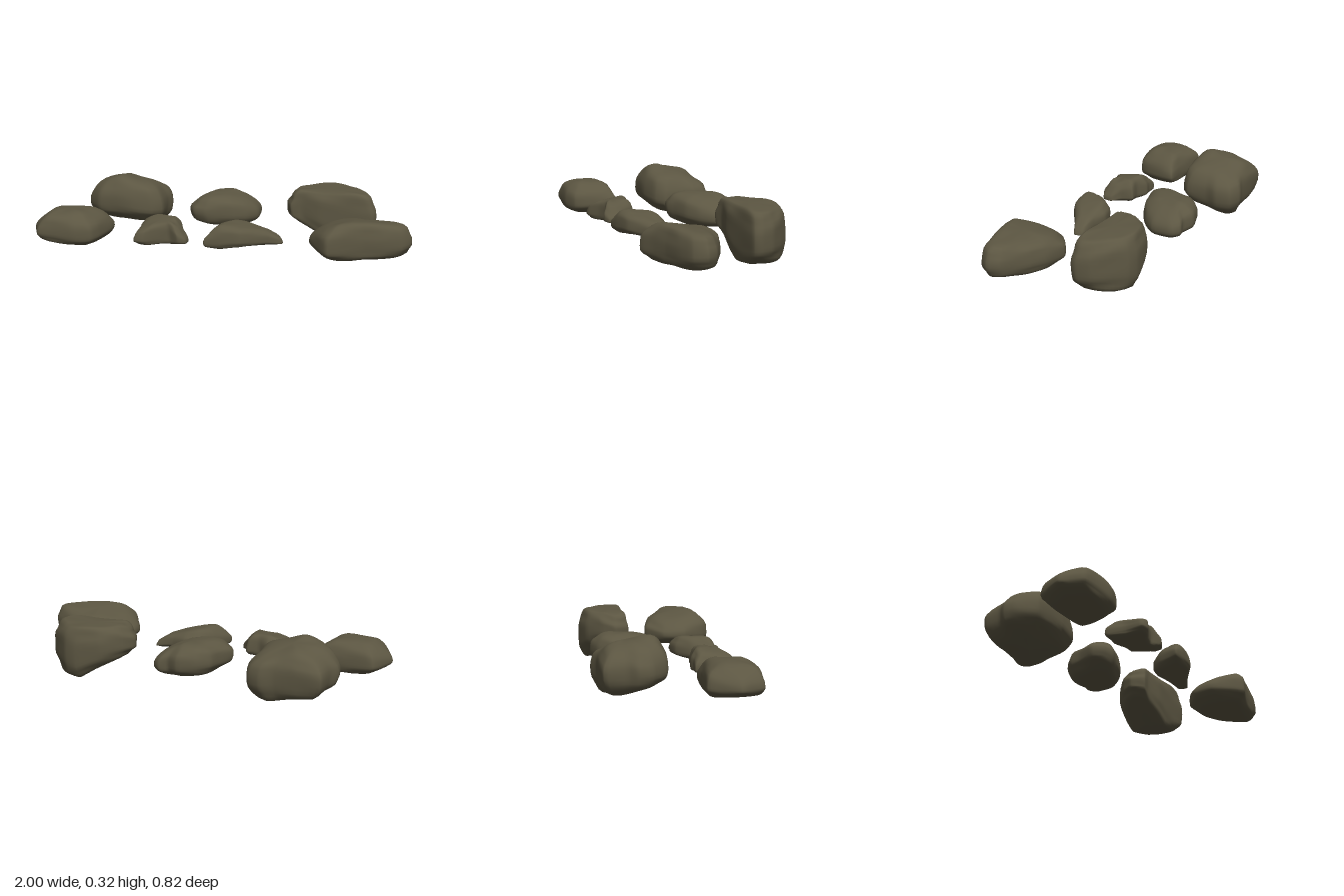
import * as THREE from 'three';

// Linear interpolation in a profile of [x, top, bottom] rows
function profileAt(profile, x) {
  const first = profile[0], last = profile[profile.length - 1];
  if (x <= first[0]) return [first[1], first[2]];
  for (let k = 1; k < profile.length; k++) {
    const a = profile[k - 1], b = profile[k];
    if (x <= b[0]) {
      const t = (x - a[0]) / (b[0] - a[0]);
      return [a[1] + (b[1] - a[1]) * t, a[2] + (b[2] - a[2]) * t];
    }
  }
  return [last[1], last[2]];
}

// Rock: plan outline (clockwise from above) swept into a lumpy dome above and below.
// waist = height of the widest ring, under / over = squareness of each half (smaller is squarer),
// tilt / baseTilt = slope of the crown and of the underside along z
function rockGeometry({ outline, profile, waist = 0.42, under = 0.4, over = 0.5, tilt = 0, baseTilt = 0, seed }) {
  const around = 56, rings = 18;
  const curve = new THREE.CatmullRomCurve3(
    outline.map(([x, z]) => new THREE.Vector3(x, 0, z)), true, 'catmullrom', 0.25);
  const edge = Array.from({ length: around }, (_, i) => curve.getPoint(i / around));
  // Softened outline, used towards the crown and the underside
  const soft = edge.map((p, i) => {
    const sum = new THREE.Vector3();
    for (let k = -5; k <= 5; k++) sum.addScaledVector(edge[(i + k + around) % around], 1 / 11);
    return sum;
  });
  const centre = new THREE.Vector3();
  edge.forEach(p => centre.addScaledVector(p, 1 / around));

  const positions = [], index = [];
  const addPoint = (p, radius, s) => {
    const lump = Math.sin(15 * p.x + seed * 2.1) * Math.sin(17 * p.z + 9 * s + seed * 3.7);
    const reach = radius * (1 + 0.04 * lump * Math.abs(s));
    const x = centre.x + (p.x - centre.x) * reach;
    const z = centre.z + (p.z - centre.z) * reach;
    const [top, bottom] = profileAt(profile, x);
    const mid = bottom + (top - bottom) * waist;
    const rise = Math.sign(s) * Math.pow(Math.abs(s), 0.85) * (0.97 + 0.03 * lump);
    const y = mid + rise * (s > 0 ? top - mid : mid - bottom);
    positions.push(x, y + (s > 0 ? tilt : baseTilt) * (z - centre.z) * Math.abs(s), z);
  };

  addPoint(centre, 0, -1);
  for (let j = 1; j < rings; j++) {
    const phi = (j / rings - 0.5) * Math.PI, s = Math.sin(phi);
    const radius = Math.pow(Math.cos(phi), s < 0 ? under : over);
    edge.forEach((p, i) => addPoint(p.clone().lerp(soft[i], s * s * 0.7), radius, s));
  }
  addPoint(centre, 0, 1);

  const last = positions.length / 3 - 1;
  for (let i = 0; i < around; i++) {
    const n = (i + 1) % around;
    index.push(0, 1 + i, 1 + n);
    for (let j = 0; j < rings - 2; j++) {
      const a = 1 + j * around + i, b = 1 + j * around + n;
      index.push(a, a + around, b + around, a, b + around, b);
    }
    const t = 1 + (rings - 2) * around;
    index.push(t + i, last, t + n);
  }
  const geometry = new THREE.BufferGeometry();
  geometry.setAttribute('position', new THREE.Float32BufferAttribute(positions, 3));
  geometry.setIndex(index);
  geometry.computeVertexNormals();
  return geometry;
}

const rocks = {
  backLeftRock: {
    outline: [[-.77, -.38], [-.66, -.39], [-.53, -.39], [-.46, -.41], [-.39, -.38], [-.365, -.3], [-.38, -.24],
      [-.38, -.12], [-.43, -.07], [-.55, -.05], [-.67, -.06], [-.74, -.07], [-.81, -.15], [-.82, -.22], [-.79, -.27]],
    profile: [[-.82, .28, .06], [-.72, .305, .055], [-.62, .32, .05], [-.5, .295, .04], [-.36, .28, .03]],
    waist: .48, under: .5, over: .58, tilt: .18, baseTilt: .25, seed: 1,
  },
  backMiddleRock: {
    outline: [[-.18, -.2], [-.16, -.27], [-.1, -.33], [0, -.36], [.06, -.33], [.11, -.34], [.15, -.3],
      [.15, -.19], [.1, -.12], [.03, -.07], [-.06, -.04], [-.12, -.02], [-.19, -.04], [-.22, -.1]],
    profile: [[-.22, .24, .1], [-.1, .255, .08], [0, .25, .075], [.15, .2, .07]],
    waist: .45, seed: 2,
  },
  backRightRock: {
    outline: [[.31, -.18], [.35, -.25], [.44, -.33], [.58, -.36], [.65, -.345], [.72, -.28], [.78, -.21],
      [.8, -.14], [.78, -.1], [.65, -.095], [.5, -.09], [.4, -.11], [.34, -.1], [.32, -.14]],
    profile: [[.31, .26, .14], [.38, .3, .11], [.5, .3, .05], [.58, .3, .0], [.68, .3, .005], [.8, .28, .035]],
    waist: .42, under: .17, over: .17, seed: 3,
  },
  frontLeftRock: {
    outline: [[-1, .23], [-.96, .14], [-.92, .08], [-.8, .09], [-.7, .1], [-.6, .1], [-.6, .16],
      [-.63, .28], [-.66, .34], [-.75, .37], [-.87, .36], [-.95, .35], [-.98, .28]],
    profile: [[-1, .18, .085], [-.9, .23, .065], [-.8, .235, .055], [-.7, .235, .05], [-.59, .2, .065]],
    waist: .35, under: .3, over: .58, seed: 4,
  },
  smallRock: {
    outline: [[-.44, .13], [-.38, .13], [-.34, .12], [-.28, .15], [-.21, .14], [-.19, .21], [-.155, .25],
      [-.16, .3], [-.2, .32], [-.25, .29], [-.31, .31], [-.38, .35], [-.43, .34], [-.42, .24]],
    profile: [[-.44, .17, .08], [-.34, .2, .075], [-.24, .205, .08], [-.2, .18, .08], [-.15, .13, .08]],
    waist: .3, under: .3, over: .35, tilt: -.12, seed: 5,
  },
  taperedRock: {
    outline: [[-.05, .29], [-.01, .2], [.06, .12], [.14, .1], [.22, .12], [.32, .13], [.33, .18],
      [.26, .22], [.19, .27], [.13, .31], [.02, .33], [-.06, .33]],
    profile: [[-.06, .17, .075], [.02, .205, .07], [.08, .2, .08], [.15, .185, .085], [.25, .16, .08], [.33, .12, .07]],
    waist: .32, under: .28, over: .4, seed: 6,
  },
  frontRightRock: {
    outline: [[.48, .2], [.5, .13], [.57, .07], [.62, .04], [.74, .06], [.83, .1], [.9, .14], [.97, .18],
      [1, .24], [.96, .3], [.87, .33], [.76, .35], [.66, .38], [.58, .41], [.54, .37], [.48, .26]],
    profile: [[.48, .19, .09], [.57, .225, .065], [.7, .25, .055], [.85, .25, .06], [1, .265, .07]],
    waist: .4, under: .28, over: .35, tilt: .17, seed: 7,
  },
};

export function createModel() {
  const group = new THREE.Group();
  group.name = 'rocks';
  const stone = new THREE.MeshStandardMaterial({ color: 0x5c5642 });
  stone.name = 'mossy stone';
  for (const [name, shape] of Object.entries(rocks)) {
    const mesh = new THREE.Mesh(rockGeometry(shape), stone);
    mesh.name = name;
    group.add(mesh);
  }
  return group;
}
